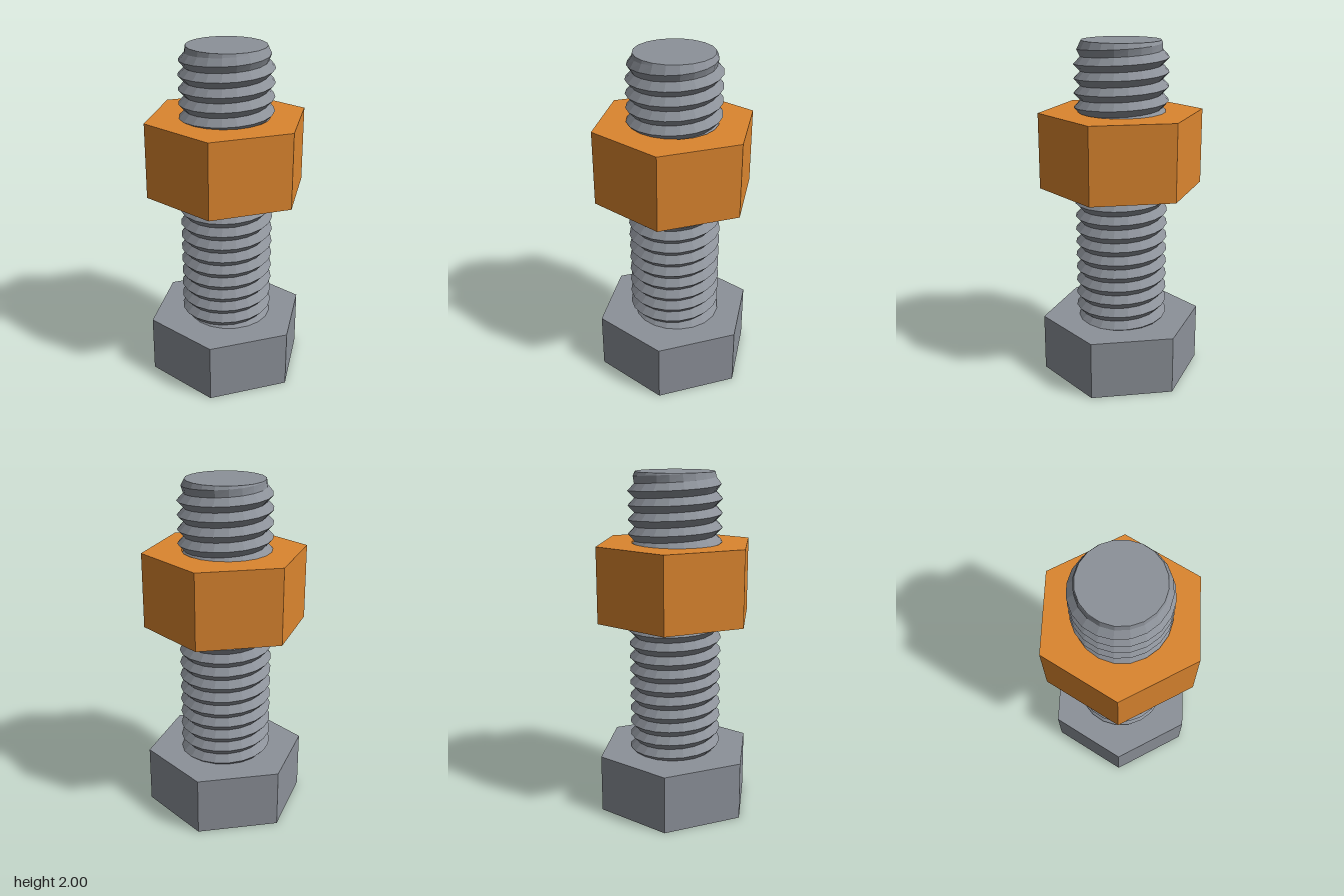
import * as THREE from 'three';

const HEX_RADIUS = 0.477;
const HEAD_TOP = 0.345, NUT_BOTTOM = 1.16, NUT_TOP = 1.6, TOP = 2;
const CREST = 0.272, ROOT = 0.234, TIP = 0.228, PITCH = 0.081, SIDES = 20;
const CREST_Y = 1.89; // height of one crest on the +x side

// Separate the faces so every facet is flat
function faceted(geometry) {
  const flat = geometry.index ? geometry.toNonIndexed() : geometry;
  flat.computeVertexNormals();
  return flat;
}

// Single-start right-hand thread, cut flat at both ends with a chamfered tip
function threadGeometry(bottom, top) {
  const positions = [], index = [];
  const first = Math.floor((bottom - CREST_Y) / (PITCH / 2)) - 3;
  const last = Math.ceil((top - CREST_Y) / (PITCH / 2)) + 1;
  const rows = last - first + 1;
  for (let s = 0; s <= SIDES; s++) {
    const turn = s / SIDES, angle = turn * Math.PI * 2;
    for (let k = first; k <= last; k++) {
      const y = THREE.MathUtils.clamp(CREST_Y + (k / 2 + turn) * PITCH, bottom, top);
      const phase = (y - CREST_Y) / PITCH - turn;
      const offCrest = Math.abs(phase - Math.round(phase)) * 2;
      const r = Math.min(CREST - (CREST - ROOT) * offCrest, TIP + (top - y) * 0.5);
      positions.push(r * Math.cos(angle), y, -r * Math.sin(angle));
    }
  }
  for (let s = 0; s < SIDES; s++) {
    for (let k = 0; k < rows - 1; k++) {
      const a = s * rows + k, b = a + rows;
      // Skip faces that lie wholly beyond the cut ends
      const heights = [a, a + 1, b, b + 1].map(i => positions[i * 3 + 1]);
      if (Math.max(...heights) - Math.min(...heights) < 1e-6) continue;
      index.push(a, b, b + 1, a, b + 1, a + 1);
    }
  }
  const geometry = new THREE.BufferGeometry();
  geometry.setAttribute('position', new THREE.Float32BufferAttribute(positions, 3));
  geometry.setIndex(index);
  return faceted(geometry);
}

// Hexagonal prism with a round bore
function nutGeometry(height) {
  const shape = new THREE.Shape();
  for (let i = 0; i < 6; i++) {
    const a = Math.PI / 2 + i * Math.PI / 3;
    shape[i ? 'lineTo' : 'moveTo'](HEX_RADIUS * Math.cos(a), HEX_RADIUS * Math.sin(a));
  }
  shape.closePath();
  const bore = new THREE.Path();
  bore.absarc(0, 0, 0.25, 0, Math.PI * 2, true);
  shape.holes.push(bore);
  const geometry = new THREE.ExtrudeGeometry(shape, { depth: height, bevelEnabled: false, curveSegments: 10 });
  return faceted(geometry.rotateX(-Math.PI / 2));
}

export function createModel() {
  const steel = new THREE.MeshStandardMaterial({ color: 0x8c9199 });
  steel.name = 'steel grey';
  const orange = new THREE.MeshStandardMaterial({ color: 0xdb852f });
  orange.name = 'orange';

  const model = new THREE.Group();
  model.name = 'boltAndNut';
  const add = (name, geometry, material, y = 0) => {
    const mesh = new THREE.Mesh(geometry, material);
    mesh.name = name;
    mesh.position.y = y;
    model.add(mesh);
  };

  // Bolt head
  add('boltHead', faceted(new THREE.CylinderGeometry(HEX_RADIUS, HEX_RADIUS, HEAD_TOP, 6)), steel, HEAD_TOP / 2);

  // Threaded shank and its flat end
  add('threadedShank', threadGeometry(HEAD_TOP, TOP), steel);
  add('shankEnd', new THREE.CircleGeometry(TIP, SIDES).rotateX(-Math.PI / 2), steel, TOP);

  // Nut
  add('nut', nutGeometry(NUT_TOP - NUT_BOTTOM), orange, NUT_BOTTOM);
  return model;
}
